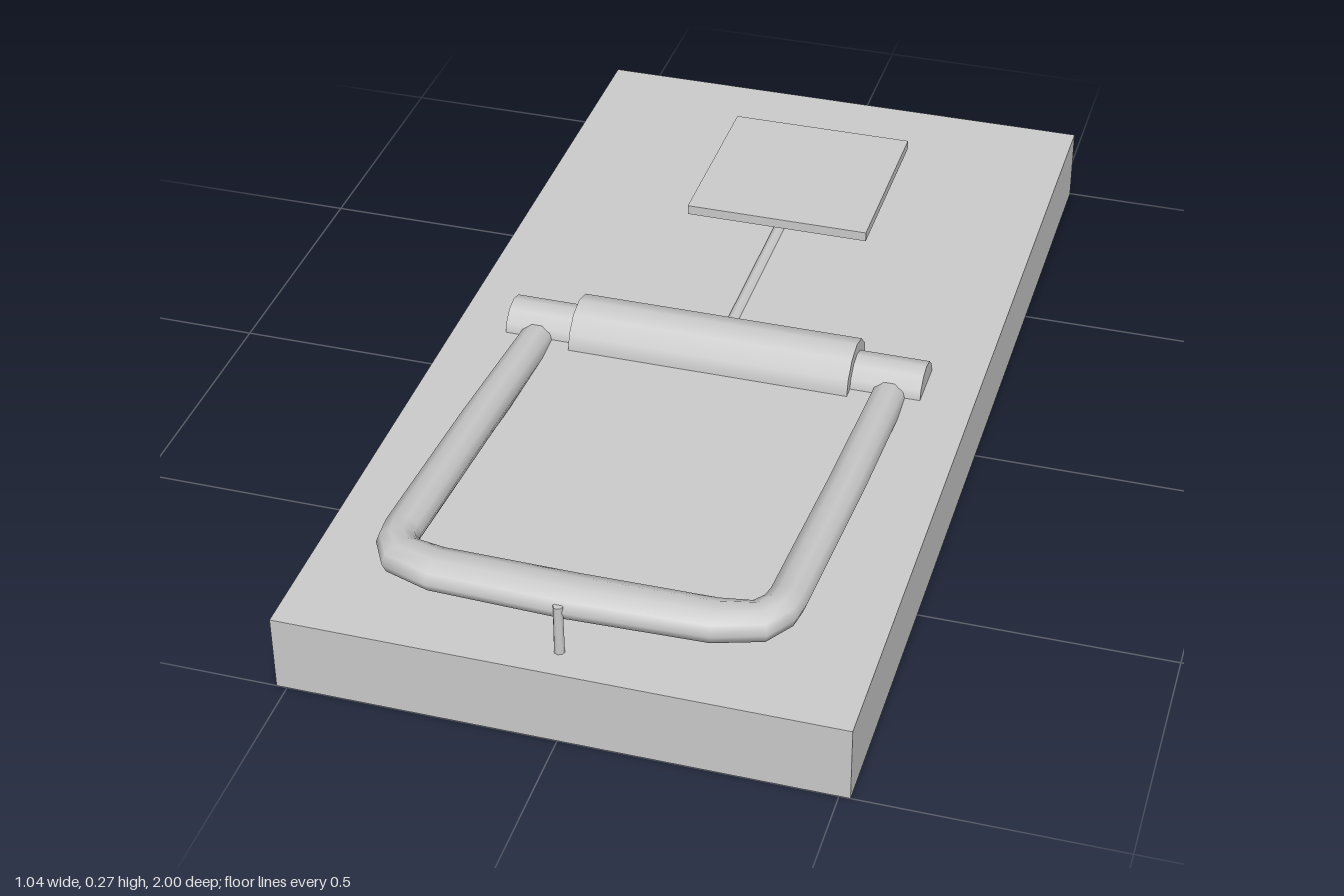
import * as THREE from 'three';

const material = new THREE.MeshStandardMaterial({ color: 0xcccccc, side: THREE.DoubleSide });
const TOP = 0.15;

function add(group, name, geometry, x = 0, y = 0, z = 0) {
  const mesh = new THREE.Mesh(geometry, material);
  mesh.name = name;
  mesh.position.set(x, y, z);
  group.add(mesh);
  return mesh;
}

// Half cylinder lying along x, its flat open side facing down
function halfCylinder(radius, length) {
  return new THREE.CylinderGeometry(radius, radius, length, 6, 1, false, 0, Math.PI).rotateZ(Math.PI / 2);
}

// Loft of elliptical rings along a path of [x, y, z, half width, half height]
function loftBar(path, sides) {
  const positions = [], index = [];
  path.forEach(([x, y, z, w, h], i) => {
    const a = path[Math.max(i - 1, 0)], b = path[Math.min(i + 1, path.length - 1)];
    const len = Math.hypot(b[0] - a[0], b[2] - a[2]);
    const nx = (b[2] - a[2]) / len, nz = -(b[0] - a[0]) / len;
    for (let j = 0; j < sides; j++) {
      const t = (j / sides) * Math.PI * 2, c = Math.cos(t) * w;
      positions.push(x + nx * c, y + Math.sin(t) * h, z + nz * c);
      if (i === path.length - 1) continue;
      const p = i * sides + j, q = i * sides + ((j + 1) % sides);
      index.push(p, q, p + sides, q, q + sides, p + sides);
    }
  });
  const geometry = new THREE.BufferGeometry();
  geometry.setAttribute('position', new THREE.Float32BufferAttribute(positions, 3));
  geometry.setIndex(index);
  geometry.computeVertexNormals();
  return geometry;
}

export function createModel() {
  const model = new THREE.Group();
  model.name = 'mousetrap';

  // Base board, hollow and open underneath
  const board = new THREE.BoxGeometry(1.04, TOP, 2);
  const faces = Array.from(board.index.array);
  faces.splice(18, 6);
  board.setIndex(faces);
  board.clearGroups();
  add(model, 'baseBoard', board, 0, TOP / 2, 0);

  // Spring coil and the axle through it
  add(model, 'springCoil', halfCylinder(0.077, 0.56), 0, 0.143, 0.006);
  add(model, 'axle', halfCylinder(0.054, 0.835), 0, 0.142, 0.004);

  // U-shaped snap bar rising toward the front
  const half = [
    [0.355, 0.04, 0.035, 0.033],
    [0.355, 0.4, 0.036, 0.033],
    [0.35, 0.79, 0.036, 0.032],
    [0.345, 0.825, 0.038, 0.032],
    [0.322, 0.866, 0.042, 0.032],
    [0.25, 0.888, 0.047, 0.032],
    [0, 0.894, 0.05, 0.032],
  ].map(([x, z, w, h]) => [x, 0.136 + 0.114 * z, z, w, h]);
  const mirrored = half.slice(0, -1).reverse().map(([x, ...rest]) => [-x, ...rest]);
  add(model, 'snapBar', loftBar([...half, ...mirrored], 10));

  // Trigger rod and bait plate
  const rod = new THREE.CylinderGeometry(0.014, 0.014, 0.48, 8).rotateX(Math.PI / 2);
  add(model, 'triggerRod', rod, 0, 0.143, -0.28);
  add(model, 'baitPlate', new THREE.BoxGeometry(0.38, 0.02, 0.38), 0, 0.175, -0.628);

  // Catch pin at the front edge
  add(model, 'catchPin', new THREE.CylinderGeometry(0.009, 0.01, 0.11, 8), -0.011, 0.195, 0.94);

  return model;
}
